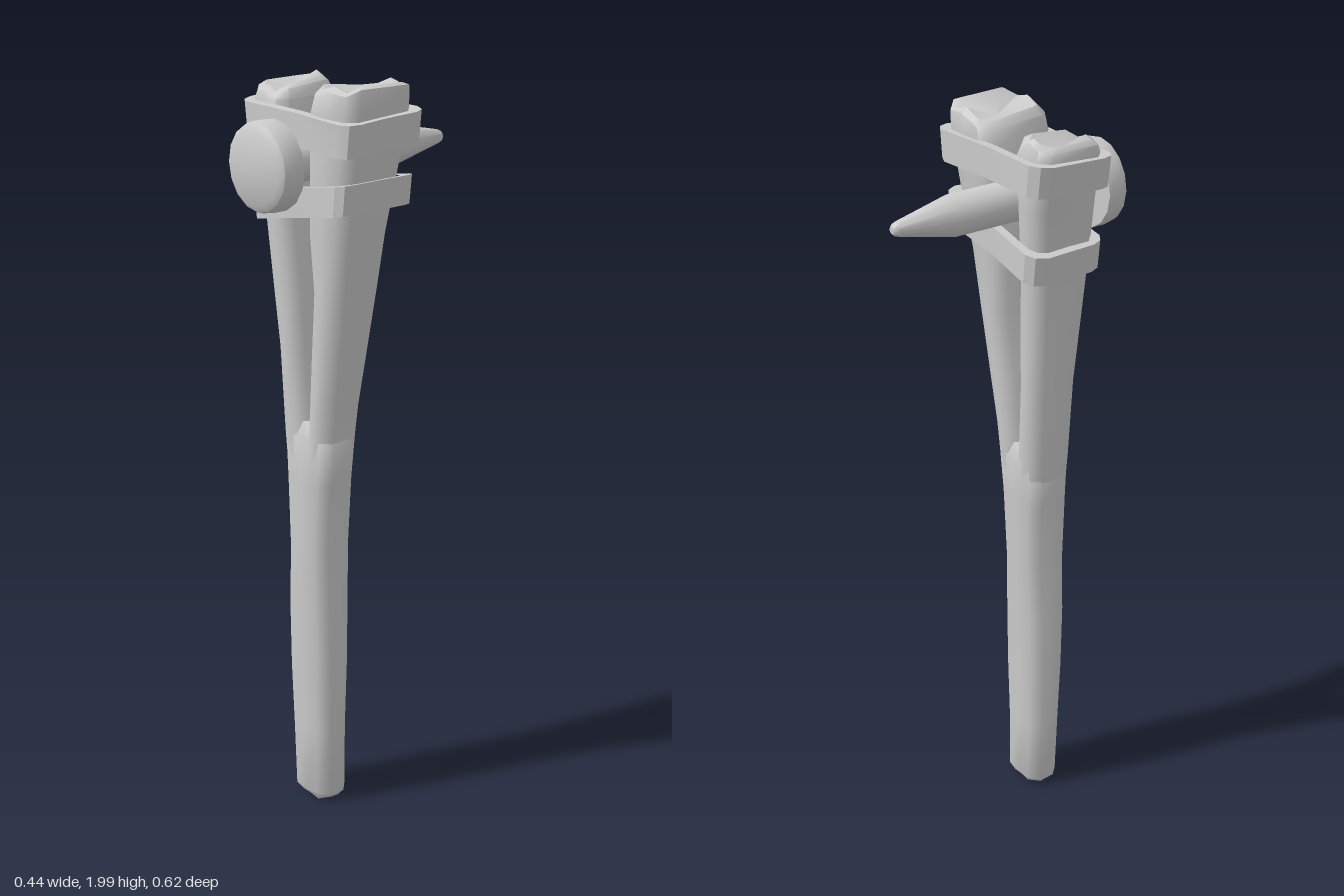
import * as THREE from 'three';
import { toCreasedNormals } from 'three/addons/utils/BufferGeometryUtils.js';

const grey = () => new THREE.MeshStandardMaterial({ color: 0xcccccc });

function part(name, geometry) {
  const mesh = new THREE.Mesh(geometry, grey());
  mesh.name = name;
  return mesh;
}

// Chamfered rectangle section; section = [y, x0, x1, z0, z1, slopeX, slopeZ, bump]
function ring([y, x0, x1, z0, z1, sx = 0, sz = 0, bump = 0], chamfer) {
  const cx = (x0 + x1) / 2, cz = (z0 + z1) / 2;
  const c = Math.min(chamfer, (x1 - x0) * 0.3);
  const corners = [
    [x0 + c, z1], [cx, z1 + c * 0.15], [x1 - c, z1], [x1, z1 - c], [x1, z0 + c],
    [x1 - c, z0], [cx, z0 - c * 0.15], [x0 + c, z0], [x0, z0 + c], [x0, z1 - c],
  ];
  return corners.map(([x, z], i) =>
    [x, y + sx * (x - cx) + sz * (z - cz) + bump * Math.sin(i * 2.3), z]);
}

// Skin a stack of sections from bottom to top and close both ends
function loft(sections, chamfer, topDip = 0) {
  const rings = sections.map((s) => ring(s, chamfer));
  const n = rings[0].length;
  const pos = rings.flat(2);
  const index = [];
  for (let r = 0; r < rings.length - 1; r++) {
    for (let i = 0; i < n; i++) {
      const a = r * n + i, b = r * n + (i + 1) % n;
      index.push(a, b, b + n, a, b + n, a + n);
    }
  }
  [0, rings.length - 1].forEach((r, end) => {
    const centre = [0, 1, 2].map((k) => rings[r].reduce((sum, p) => sum + p[k], 0) / n);
    if (end) centre[1] -= topDip;
    const c = pos.length / 3;
    pos.push(...centre);
    for (let i = 0; i < n; i++) {
      const a = r * n + i, b = r * n + (i + 1) % n;
      index.push(c, ...(end ? [a, b] : [b, a]));
    }
  });
  const g = new THREE.BufferGeometry();
  g.setAttribute('position', new THREE.Float32BufferAttribute(pos, 3));
  g.setIndex(index);
  return toCreasedNormals(g, 0.85);
}

// Strap outline as [x, z]
const strapOutline = [
  [-0.219, 0.02], [-0.205, -0.012], [-0.177, -0.027], [0, -0.022], [0.175, -0.035],
  [0.205, -0.022], [0.218, 0.005], [0.211, 0.1], [0.213, 0.178], [0.203, 0.207],
  [0.175, 0.219], [0, 0.207], [-0.177, 0.212], [-0.2, 0.198], [-0.212, 0.17], [-0.215, 0.1],
];

function strap(name, height, scaleX, scaleZ, heightAt) {
  const cz = 0.093;
  const outline = (kx, kz) => strapOutline.map(([x, z]) =>
    new THREE.Vector2(x * kx, -(cz + (z - cz) * kz)));
  const shape = new THREE.Shape(outline(scaleX, scaleZ));
  shape.holes.push(new THREE.Path(outline(scaleX * 0.89, scaleZ * 0.79)));
  const g = new THREE.ExtrudeGeometry(shape, { depth: height, bevelEnabled: false });
  g.rotateX(-Math.PI / 2);
  const p = g.attributes.position;
  for (let i = 0; i < p.count; i++) {
    const x = p.getX(i), y = p.getY(i), z = p.getZ(i);
    p.setX(i, x * (0.955 + 0.045 * y / height));
    p.setY(i, y + heightAt(x, z));
  }
  return part(name, toCreasedNormals(g, 0.5));
}

// Round part turned about the z axis, profile as [radius, z]
function turned(name, profile, sides) {
  const g = new THREE.LatheGeometry(profile.map(([r, z]) => new THREE.Vector2(r, z)), sides);
  g.rotateX(Math.PI / 2);
  return part(name, toCreasedNormals(g, 0.6));
}

export function createModel() {
  const model = new THREE.Group();
  model.name = 'forkedClub';

  // Handle, slightly crooked
  model.add(part('handle', loft([
    [0.012, -0.08, 0.035, 0.08, 0.155, 0, 0, 0.005],
    [0.03, -0.096, 0.047, 0.07, 0.165],
    [0.22, -0.1, 0.05, 0.07, 0.168],
    [0.4, -0.104, 0.054, 0.066, 0.172],
    [0.58, -0.103, 0.053, 0.062, 0.175],
    [0.76, -0.096, 0.051, 0.058, 0.176],
    [0.95, -0.106, 0.058, 0.052, 0.173],
    [1.07, -0.114, 0.066, 0.046, 0.171],
    [1.11, -0.09, 0.04, 0.06, 0.155],
  ], 0.026)));

  // Two prongs of the fork
  model.add(part('rightProng', loft([
    [0.98, -0.107, 0.0, 0.055, 0.17],
    [1.07, -0.115, -0.02, 0.046, 0.171],
    [1.3, -0.13, -0.039, 0.038, 0.172],
    [1.45, -0.144, -0.043, 0.032, 0.178],
    [1.62, -0.16, -0.058, 0.022, 0.184],
    [1.8, -0.178, -0.068, 0.006, 0.188],
    [1.93, -0.197, -0.07, -0.002, 0.186, 0.05],
    [1.955, -0.195, -0.08, 0.006, 0.18, 0.06, -0.1, 0.008],
    [1.965, -0.183, -0.092, 0.02, 0.165, 0.05, -0.12, 0.008],
  ], 0.024, 0.025)));
  model.add(part('leftProng', loft([
    [0.98, -0.04, 0.059, 0.055, 0.17],
    [1.07, -0.024, 0.066, 0.046, 0.171],
    [1.15, -0.018, 0.075, 0.043, 0.171],
    [1.3, -0.004, 0.1, 0.036, 0.175],
    [1.47, 0.016, 0.128, 0.028, 0.182],
    [1.62, 0.008, 0.15, 0.02, 0.188],
    [1.8, 0.018, 0.178, 0.0, 0.194],
    [1.92, 0.022, 0.197, -0.012, 0.196, 0.1],
    [1.97, 0.034, 0.2, -0.01, 0.192, 0.18, 0, 0.008],
    [1.982, 0.05, 0.188, 0.004, 0.178, 0.12, 0, 0.01],
  ], 0.026, 0.03)));

  // Bands binding the prongs together
  model.add(strap('upperStrap', 0.08, 1, 1, (x, z) => 1.843 - 0.025 * x - 0.06 * (z - 0.09)));
  model.add(strap('lowerStrap', 0.075, 0.88, 0.94, (x) => 1.657 + 0.18 * x));

  // Spike driven between the prongs, with its round head in front
  const spike = new THREE.Group();
  spike.name = 'spike';
  spike.position.set(-0.026, 1.79, 0);
  spike.add(turned('spikeShaft', [
    [0, -0.313], [0.009, -0.311], [0.015, -0.305], [0.019, -0.294],
    [0.052, -0.14], [0.052, 0.25],
  ], 20));
  spike.add(turned('spikeHead', [
    [0, 0.247], [0.113, 0.247], [0.113, 0.285], [0.108, 0.302], [0.092, 0.312], [0, 0.312],
  ], 16));
  model.add(spike);

  return model;
}
